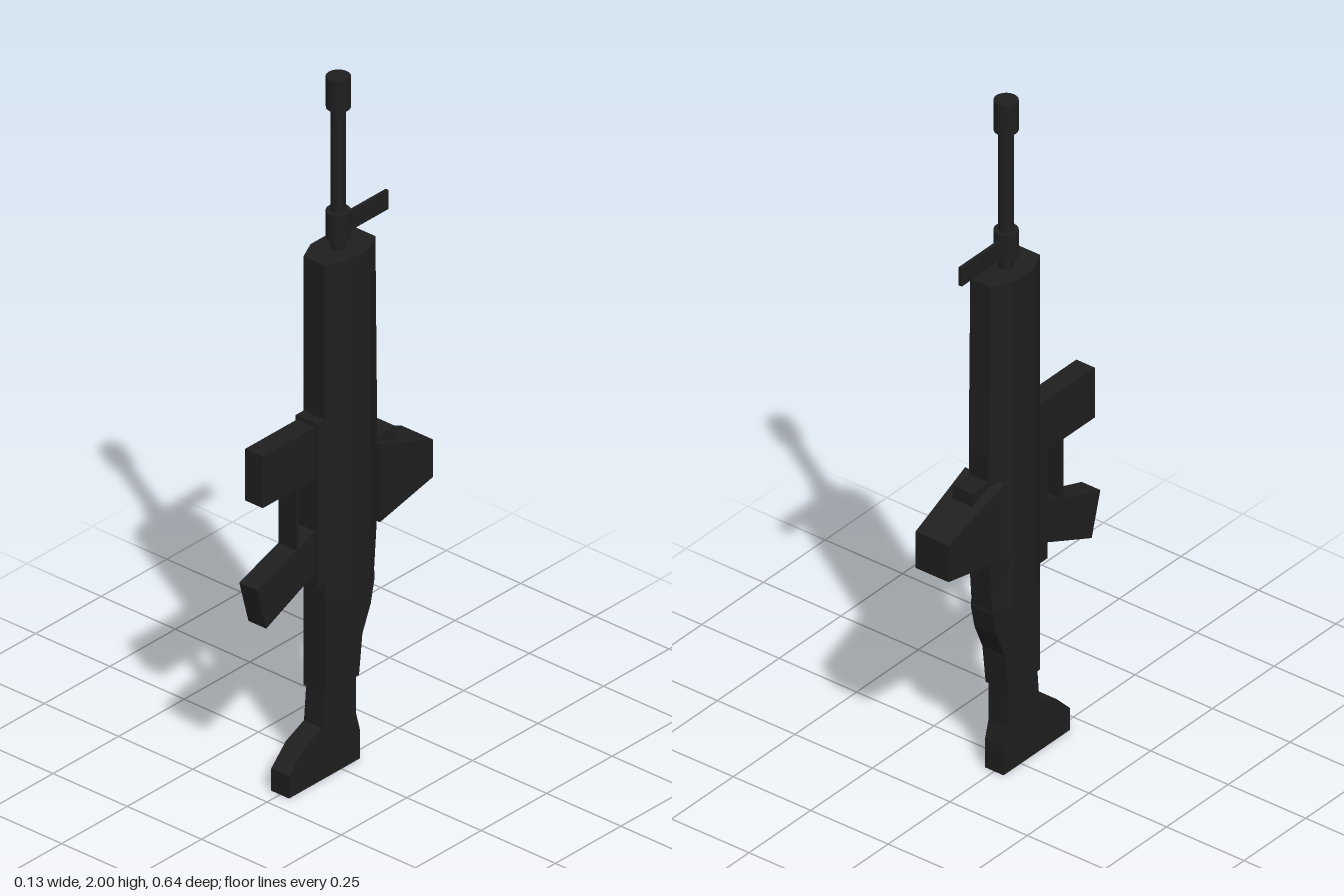
import * as THREE from 'three';

const material = new THREE.MeshStandardMaterial({ color: 0x1e1e1e, flatShading: true });

function add(group, name, geometry) {
  const mesh = new THREE.Mesh(geometry, material);
  mesh.name = name;
  group.add(mesh);
  return mesh;
}

// Side outline in (z, y) extruded to a given width along x.
function sideProfile(points, width) {
  const shape = new THREE.Shape(points.map(([z, y]) => new THREE.Vector2(z, y)));
  return new THREE.ExtrudeGeometry(shape, { depth: width, bevelEnabled: false })
    .translate(0, 0, -width / 2)
    .rotateY(-Math.PI / 2);
}

// Closed solid through cross-sections [height, [[x, z], ...]].
function loft(sections) {
  const n = sections[0][1].length;
  const position = [];
  const index = [];
  for (const [y, ring] of sections) for (const [x, z] of ring) position.push(x, y, z);
  for (let s = 0; s < sections.length - 1; s++) {
    for (let i = 0; i < n; i++) {
      const a = s * n + i;
      const b = s * n + ((i + 1) % n);
      index.push(a, b, b + n, a, b + n, a + n);
    }
  }
  const top = (sections.length - 1) * n;
  for (let i = 1; i < n - 1; i++) {
    index.push(0, i + 1, i, top, top + i, top + i + 1);
  }
  const geometry = new THREE.BufferGeometry();
  geometry.setAttribute('position', new THREE.Float32BufferAttribute(position, 3));
  geometry.setIndex(index);
  const flat = geometry.toNonIndexed();
  flat.computeVertexNormals();
  return flat;
}

function box(x, y0, y1, z0, z1) {
  return new THREE.BoxGeometry(x, y1 - y0, z1 - z0).translate(0, (y0 + y1) / 2, (z0 + z1) / 2);
}

function tube(radius, y0, y1) {
  return new THREE.CylinderGeometry(radius, radius, y1 - y0, 20).translate(0, (y0 + y1) / 2, -0.022);
}

export function createModel() {
  const model = new THREE.Group();
  model.name = 'rifle';

  // Eight-sided receiver and handguard, with a slightly tapering back
  const bodyRing = (back) => [
    [-0.036, 0.07], [0.036, 0.07], [0.063, 0.013], [0.063, -0.07],
    [0.033, back], [-0.033, back], [-0.063, -0.07], [-0.063, 0.013],
  ];
  add(model, 'body', loft([[0.52, -0.12], [0.68, -0.132], [1.0, -0.132], [1.5, -0.126]]
    .map(([y, back]) => [y, bodyRing(back)])));
  add(model, 'lowerReceiver', box(0.072, 0.57, 1.05, 0.05, 0.1));

  // Stock and butt
  add(model, 'stock', sideProfile([
    [0.07, 0.25], [0.07, 0.53], [-0.118, 0.53], [-0.12, 0.51],
    [-0.105, 0.44], [-0.073, 0.365], [-0.06, 0.25],
  ], 0.072));
  add(model, 'butt', sideProfile([
    [0.2, 0], [0.2, 0.065], [0.145, 0.12], [0.075, 0.152], [0.066, 0.26],
    [-0.055, 0.26], [-0.055, 0.14], [-0.07, 0.085], [-0.07, 0],
  ], 0.06));

  // Magazine, grip and trigger guard
  add(model, 'magazine', box(0.06, 0.89, 1.04, 0.06, 0.3));
  add(model, 'grip', sideProfile([
    [0.07, 0.748], [0.07, 0.6], [0.1, 0.615], [0.287, 0.533], [0.322, 0.66], [0.1, 0.736],
  ].reverse(), 0.06));
  add(model, 'triggerGuard', box(0.06, 0.7, 0.895, 0.164, 0.173));

  // Tapered optic on its mount
  const opticRing = (halfWidth, low, high) => [
    [-halfWidth, high], [halfWidth, high], [halfWidth, low], [-halfWidth, low],
  ];
  add(model, 'optic', loft([
    [0.108, opticRing(0.064, 0.685, 0.91)],
    [0.322, opticRing(0.053, 0.72, 0.83)],
  ]).rotateX(-Math.PI / 2));
  add(model, 'opticMount', box(0.064, 0.676, 0.915, -0.2, -0.12));

  // Barrel, collar, muzzle and front sight
  add(model, 'barrel', tube(0.02, 1.48, 1.95));
  add(model, 'barrelCollar', tube(0.032, 1.53, 1.61));
  add(model, 'muzzle', tube(0.032, 1.91, 2));
  add(model, 'frontSight', box(0.01, 1.533, 1.588, -0.208, -0.04));

  return model;
}
